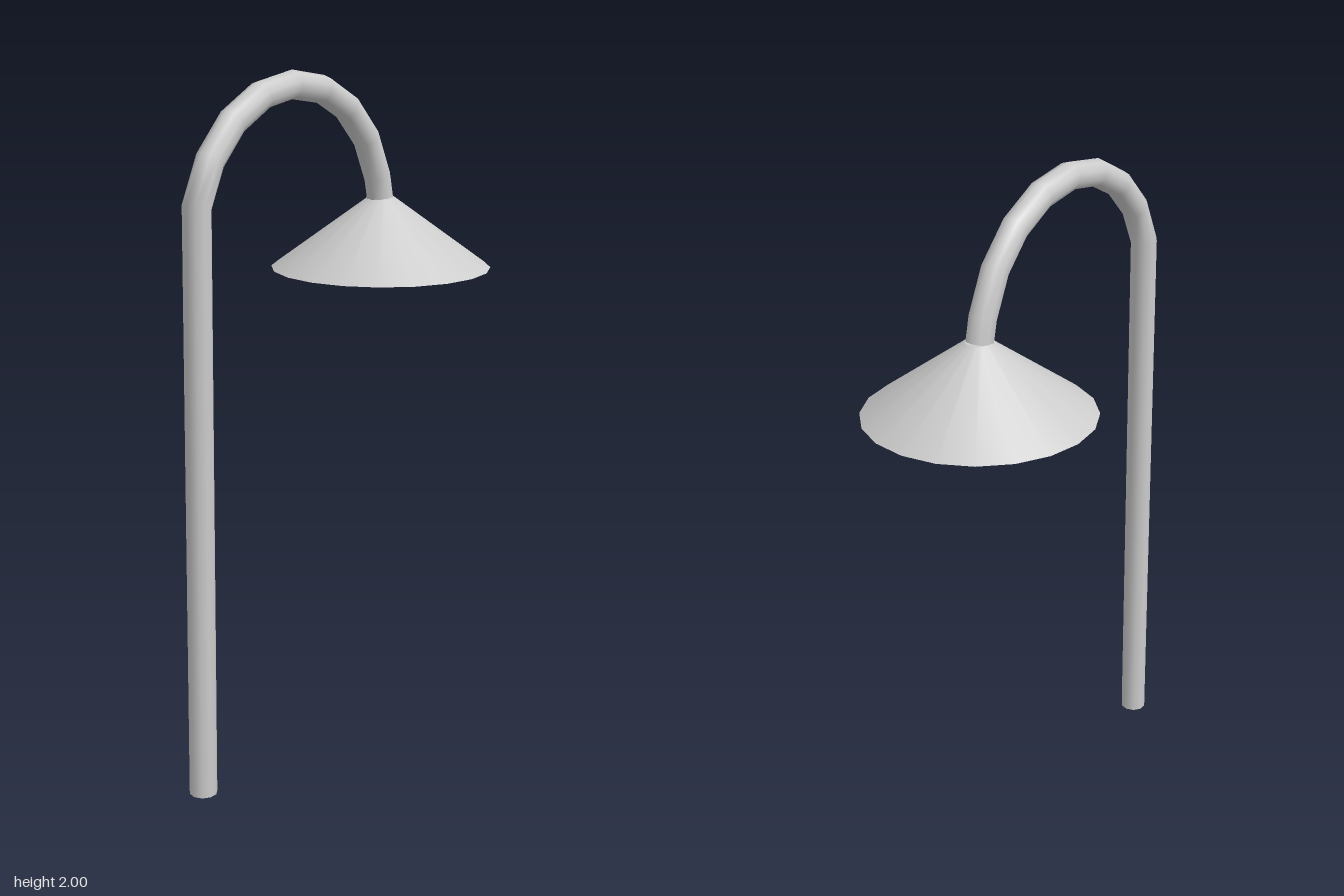
import * as THREE from 'three';

const material = new THREE.MeshStandardMaterial({ color: 0xcccccc });

// Open tube along a path lying in the plane x = 0; each point is [z, y]
function sweep(path, radius, sides) {
  const positions = [], index = [];
  path.forEach(([z, y], i) => {
    const dir = (a, b) => new THREE.Vector2(b[0] - a[0], b[1] - a[1]).normalize();
    const before = dir(path[Math.max(i - 1, 0)], path[Math.max(i, 1)]);
    const after = dir(path[Math.min(i, path.length - 2)], path[Math.min(i + 1, path.length - 1)]);
    const t = before.add(after).normalize();
    if (i === 0) t.set(0, 1); // foot is cut level with the ground
    for (let s = 0; s < sides; s++) {
      const a = (s / sides) * Math.PI * 2;
      const out = Math.cos(a) * radius;
      positions.push(Math.sin(a) * radius, y - t.x * out, z + t.y * out);
      if (i > 0) {
        const n = (s + 1) % sides, p = (i - 1) * sides, q = i * sides;
        index.push(p + s, p + n, q + n, p + s, q + n, q + s);
      }
    }
  });
  const geometry = new THREE.BufferGeometry();
  geometry.setAttribute('position', new THREE.Float32BufferAttribute(positions, 3));
  geometry.setIndex(index);
  geometry.computeVertexNormals();
  return geometry;
}

export function createModel() {
  const group = new THREE.Group();

  // Leaning post running into a curved neck
  const path = [[0.555, 0]];
  for (let i = 0; i <= 8; i++) {
    const a = THREE.MathUtils.degToRad(74.5 * (1 - i / 4));
    path.push([0.145 + 0.405 * Math.sin(a), 1.565 + 0.397 * Math.cos(a)]);
  }
  path.push([-0.26, 1.605]);
  const post = new THREE.Mesh(sweep(path, 0.04, 10), material);
  post.name = 'curvedPost';
  group.add(post);

  // Conical lamp shade, closed underneath
  const shade = new THREE.Mesh(new THREE.CylinderGeometry(0.038, 0.328, 0.21, 20), material);
  shade.name = 'lampShade';
  shade.position.set(0, 1.505, -0.265);
  group.add(shade);

  return group;
}
